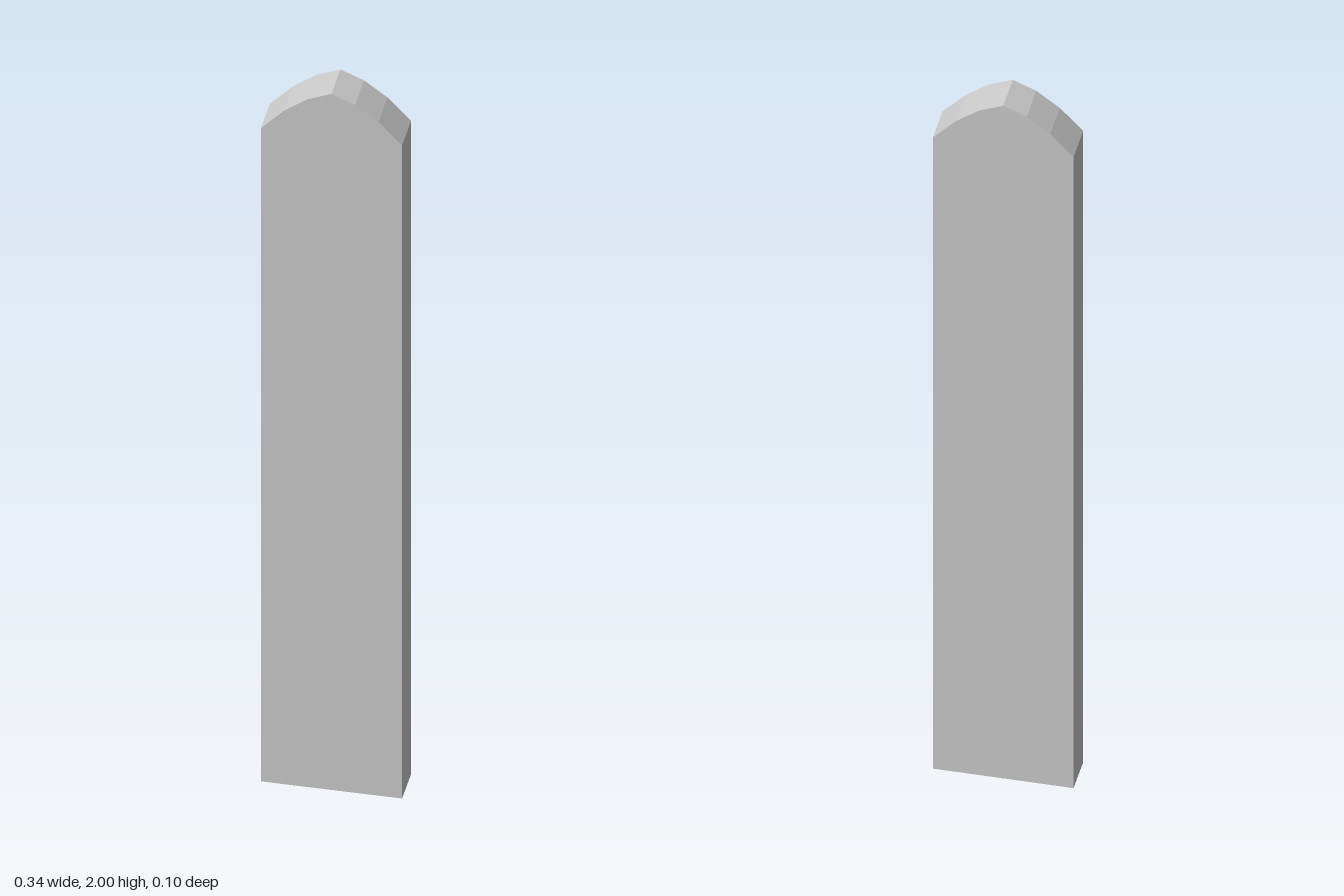
import * as THREE from 'three';

export function createModel() {
  const group = new THREE.Group();
  group.name = 'picket';

  const halfWidth = 0.17, depth = 0.103, shoulder = 1.877, peak = 2, bulge = 1.979;

  // Board outline: straight sides, pointed arch of three facets per side
  const outline = new THREE.Shape();
  outline.moveTo(-halfWidth, 0);
  outline.lineTo(halfWidth, 0);
  outline.lineTo(halfWidth, shoulder);
  outline.quadraticCurveTo(halfWidth / 2, bulge, 0, peak);
  outline.quadraticCurveTo(-halfWidth / 2, bulge, -halfWidth, shoulder);
  outline.closePath();

  const geometry = new THREE.ExtrudeGeometry(outline, {
    depth, curveSegments: 3, bevelEnabled: false,
  });
  geometry.translate(0, 0, -depth / 2);

  const board = new THREE.Mesh(
    geometry,
    new THREE.MeshStandardMaterial({ color: 0xcccccc, flatShading: true }),
  );
  board.name = 'board';
  group.add(board);
  return group;
}
